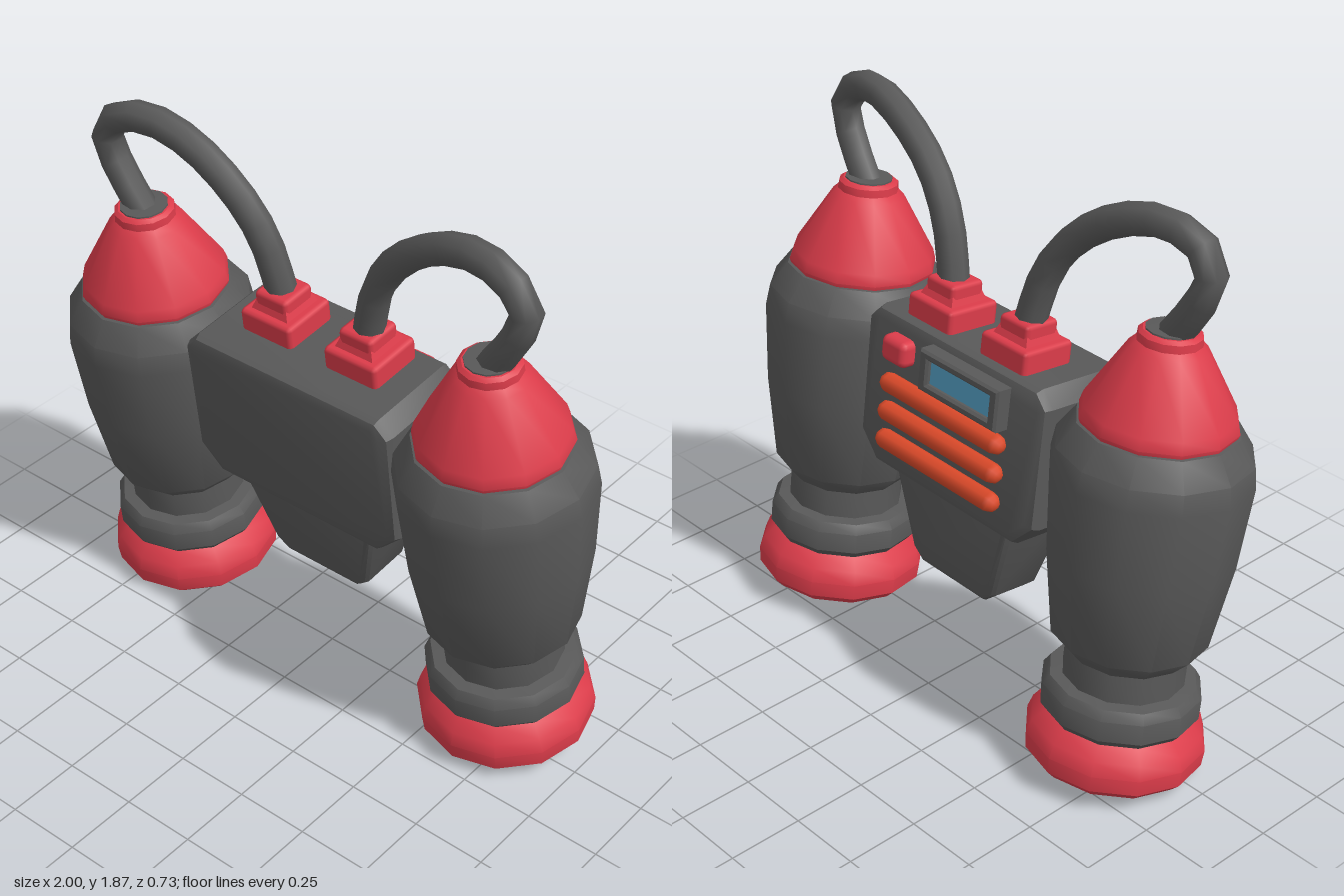
import * as THREE from 'three';
import { toCreasedNormals } from 'three/addons/utils/BufferGeometryUtils.js';
import { RoundedBoxGeometry } from 'three/addons/geometries/RoundedBoxGeometry.js';

const material = (name, color) => {
  const m = new THREE.MeshStandardMaterial({ color });
  m.name = name;
  return m;
};

export function createModel() {
  const grey = material('dark grey', 0x595959);
  const red = material('red', 0xdc3c4a);
  const orange = material('orange', 0xdc4a2a);
  const blue = material('screen blue', 0x559fc4);

  const model = new THREE.Group();
  model.name = 'jetpack';
  // The whole pack leans slightly forward
  const pack = new THREE.Group();
  pack.name = 'leaningPack';
  pack.position.set(0, 0, -0.075);
  pack.rotation.set(0.115, -0.012, 0.012);
  model.add(pack);

  const add = (parent, name, geometry, mat, x = 0, y = 0, z = 0) => {
    const mesh = new THREE.Mesh(geometry, mat);
    mesh.name = name;
    mesh.position.set(x, y, z);
    parent.add(mesh);
    return mesh;
  };
  const lathe = (pts) => toCreasedNormals(
    new THREE.LatheGeometry(pts.map(([r, y]) => new THREE.Vector2(r, y)), 12), 0.65);

  // Bevelled slab whose outline is a polygon, centred on z
  const slab = (pts, depth, bevel) => {
    const inset = new THREE.Shape(pts.map(([x, y]) => new THREE.Vector2(x, y)));
    const g = new THREE.ExtrudeGeometry(inset, {
      depth: depth - 2 * bevel, bevelEnabled: true, bevelThickness: bevel,
      bevelSize: bevel, bevelOffset: -bevel, bevelSegments: 2,
    });
    g.translate(0, 0, bevel - depth / 2);
    return g;
  };

  // Tank profiles, radius and height
  const profiles = [
    ['nozzleRim', red, [[0.2, 0.06], [0.21, 0.035], [0.255, 0.035], [0.285, 0.065], [0.29, 0.12],
      [0.275, 0.165], [0.235, 0.205], [0.18, 0.21]]],
    ['nozzleOpening', grey, [[0, 0.045], [0.215, 0.045]]],
    ['nozzleCollar', grey, [[0.19, 0.2], [0.235, 0.205], [0.255, 0.23], [0.255, 0.3], [0.235, 0.33], [0.19, 0.335]]],
    ['tankBody', grey, [[0.195, 0.31], [0.195, 0.43], [0.25, 0.49], [0.295, 0.78], [0.315, 1.05],
      [0.305, 1.12], [0.25, 1.2], [0.18, 1.21]]],
    ['noseCone', red, [[0.18, 1.185], [0.235, 1.19], [0.245, 1.215], [0.235, 1.25], [0.12, 1.445],
      [0.1, 1.465], [0.098, 1.49], [0.085, 1.5], [0.06, 1.5]]],
    ['hoseCollar', grey, [[0.08, 1.48], [0.078, 1.505], [0, 1.508]]],
  ];
  const hosePath = [[0.17, 1.31, -0.06], [0.18, 1.36, -0.06], [0.23, 1.53, -0.06], [0.33, 1.67, -0.055],
    [0.49, 1.78, -0.05], [0.64, 1.82, -0.035], [0.765, 1.79, -0.015], [0.815, 1.71, -0.01],
    [0.77, 1.6, -0.005], [0.69, 1.48, 0]];

  for (const [side, s] of [['left', 1], ['right', -1]]) {
    const tank = new THREE.Group();
    tank.name = side + 'Tank';
    tank.position.x = s * 0.685;
    pack.add(tank);
    for (const [name, mat, pts] of profiles) add(tank, name, lathe(pts), mat);

    // Hose and its stepped socket on top of the central unit
    const curve = new THREE.CatmullRomCurve3(hosePath.map(([x, y, z]) => new THREE.Vector3(s * x, y, z)));
    add(pack, side + 'Hose', new THREE.TubeGeometry(curve, 14, 0.051, 8), grey);
    add(pack, side + 'SocketBase', new RoundedBoxGeometry(0.205, 0.1, 0.2, 1, 0.015), red, s * 0.17, 1.24, -0.06);
    const step = new THREE.CylinderGeometry(0.075, 0.115, 0.07, 4);
    step.rotateY(Math.PI / 4);
    add(pack, side + 'SocketStep', toCreasedNormals(step, 0.4), red, s * 0.17, 1.305, -0.06);
    add(pack, side + 'SocketTop', new RoundedBoxGeometry(0.13, 0.07, 0.13, 1, 0.015), red, s * 0.17, 1.32, -0.06);
  }

  // Central unit
  const body = slab([[-0.33, 0.67], [0.33, 0.67], [0.415, 0.755], [0.415, 1.165], [0.365, 1.215],
    [-0.365, 1.215], [-0.415, 1.165], [-0.415, 0.755]], 0.37, 0.035);
  add(pack, 'centralUnit', toCreasedNormals(body, 0.65), grey, 0, 0, -0.015);

  // Lower unit, also narrowing from front to back as it goes down
  const lower = slab([[-0.15, 0.35], [0.15, 0.35], [0.195, 0.39], [0.285, 0.72], [-0.285, 0.72], [-0.195, 0.39]], 0.3, 0.025);
  const p = lower.attributes.position;
  for (let i = 0; i < p.count; i++) {
    p.setZ(i, p.getZ(i) * THREE.MathUtils.mapLinear(p.getY(i), 0.35, 0.72, 0.65, 1));
  }
  add(pack, 'lowerUnit', toCreasedNormals(lower, 0.65), grey, 0, 0, -0.015);

  // Back panel: vent bars, button and framed screen
  for (let i = 0; i < 3; i++) {
    const bar = new THREE.CapsuleGeometry(0.034, 0.5, 3, 8);
    bar.rotateZ(Math.PI / 2);
    add(pack, 'ventBar', bar, orange, 0.01, 0.79 + i * 0.1, -0.217);
  }
  add(pack, 'button', new RoundedBoxGeometry(0.115, 0.09, 0.09, 2, 0.025), red, 0.23, 1.115, -0.205);

  const frame = new THREE.Shape();
  frame.moveTo(-0.18, -0.07).lineTo(0.18, -0.07).lineTo(0.18, 0.07).lineTo(-0.18, 0.07).closePath();
  const hole = new THREE.Path();
  hole.moveTo(-0.14, -0.04).lineTo(-0.14, 0.04).lineTo(0.14, 0.04).lineTo(0.14, -0.04).closePath();
  frame.holes.push(hole);
  const frameGeometry = new THREE.ExtrudeGeometry(frame, {
    depth: 0.07, bevelEnabled: true, bevelThickness: 0.008, bevelSize: 0.008, bevelOffset: -0.008, bevelSegments: 1,
  });
  add(pack, 'screenFrame', frameGeometry, grey, -0.085, 1.115, -0.247);
  add(pack, 'screen', new THREE.BoxGeometry(0.3, 0.1, 0.008), blue, -0.085, 1.115, -0.233);

  return model;
}
